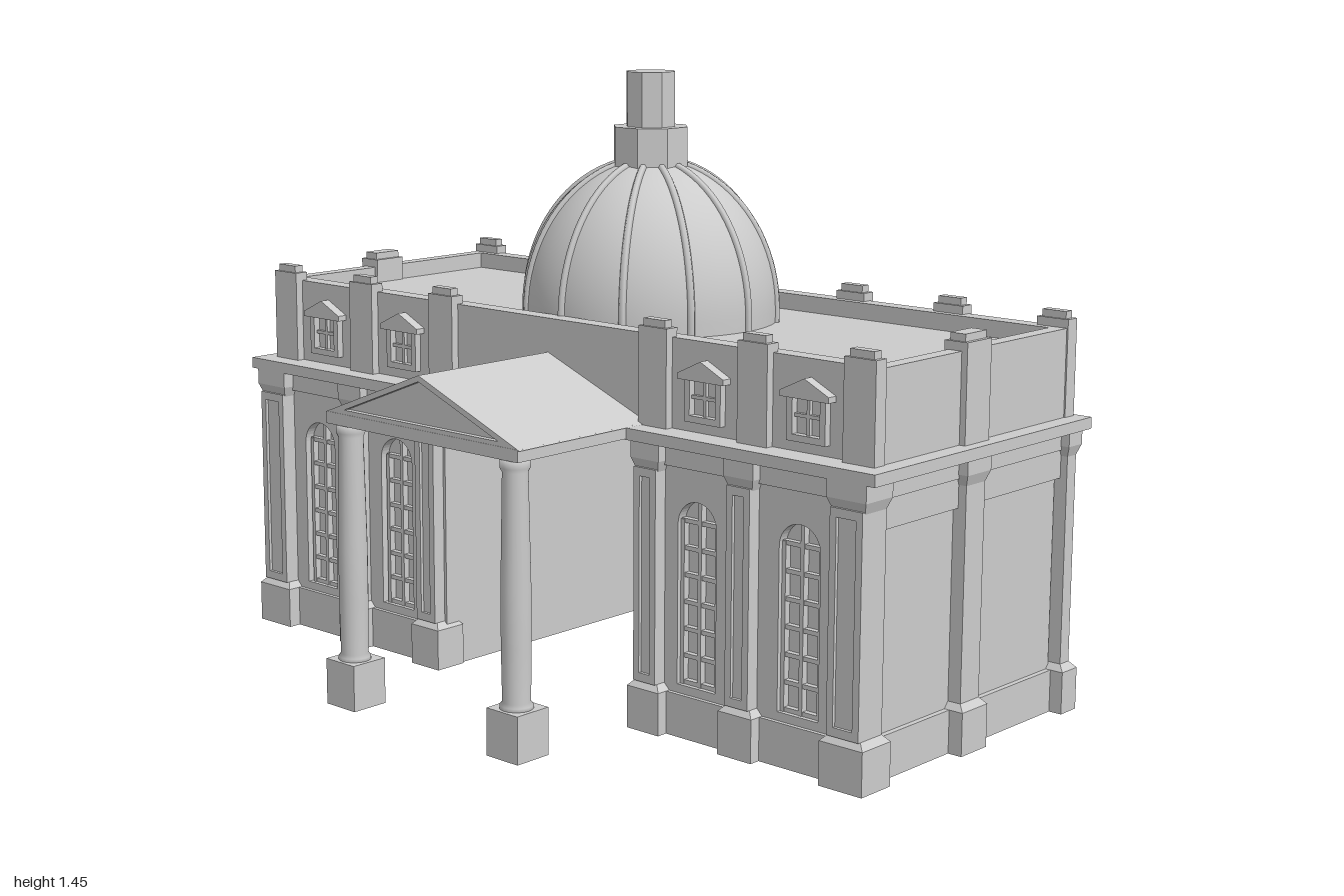
import * as THREE from 'three';

const mat = new THREE.MeshStandardMaterial({ color: 0xcccccc });
const flat = new THREE.MeshStandardMaterial({ color: 0xcccccc, flatShading: true });

function add(parent, name, geo, x = 0, y = 0, z = 0, m = flat) {
  const mesh = new THREE.Mesh(geo, m);
  mesh.name = name;
  mesh.position.set(x, y, z);
  parent.add(mesh);
  return mesh;
}

// Box given by its extents
function box(parent, name, x0, x1, y0, y1, z0, z1) {
  return add(parent, name, new THREE.BoxGeometry(x1 - x0, y1 - y0, z1 - z0),
    (x0 + x1) / 2, (y0 + y1) / 2, (z0 + z1) / 2);
}

// Box whose top has a different size from its bottom
function taper(parent, name, w0, d0, w1, d1, y0, y1) {
  const geo = new THREE.BoxGeometry(1, y1 - y0, 1);
  const p = geo.attributes.position;
  for (let i = 0; i < p.count; i++) {
    const top = p.getY(i) > 0;
    p.setX(i, p.getX(i) * (top ? w1 : w0));
    p.setZ(i, p.getZ(i) * (top ? d1 : d0));
  }
  geo.computeVertexNormals();
  return add(parent, name, geo, 0, (y0 + y1) / 2, 0);
}

function outline(target, pts) {
  pts.forEach(([x, y], i) => (i ? target.lineTo(x, y) : target.moveTo(x, y)));
  target.closePath();
  return target;
}
const rect = (T, x0, x1, y0, y1) => outline(new T(), [[x0, y0], [x1, y0], [x1, y1], [x0, y1]]);
const extrude = (shape, depth) => new THREE.ExtrudeGeometry(shape, { depth, bevelEnabled: false, curveSegments: 10 });

// Pilaster with plinth block, shaft and flared capital; w across, d deep
function pilaster(parent, x, z, w, d, panelled) {
  const g = new THREE.Group();
  g.name = 'pilaster';
  g.position.set(x, 0, z);
  const W = w + 0.03, D = d + 0.025;
  taper(g, 'pilasterBase', W, D, W, D, 0, 0.1);
  taper(g, 'pilasterBaseMoulding', W, D, w, d, 0.1, 0.115);
  taper(g, 'pilasterShaft', w, d, w, d, 0.115, 0.615);
  taper(g, 'pilasterCapital', w, d, w + 0.018, d + 0.018, 0.605, 0.63);
  taper(g, 'pilasterCapitalBlock', w + 0.018, d + 0.018, w + 0.018, d + 0.018, 0.63, 0.672);
  if (panelled) {
    const h = w / 2, s = rect(THREE.Shape, -h, h, 0.115, 0.61);
    s.holes.push(rect(THREE.Path, -h + 0.017, h - 0.017, 0.135, 0.59));
    add(g, 'pilasterPanelFrame', extrude(s, 0.008), 0, 0, d / 2);
  }
  parent.add(g);
}

// Parapet post with a smaller cap
function post(parent, x, z, w, d) {
  box(parent, 'parapetPost', x - w / 2, x + w / 2, 0.695, 0.92, z - d / 2, z + d / 2);
  const a = w / 2 - 0.01, b = d / 2 - 0.006;
  box(parent, 'parapetPostCap', x - a, x + a, 0.92, 0.937, z - b, z + b);
}

const windowXs = [0.487, 0.775];

function wing(parent, s) {
  const g = new THREE.Group();
  g.name = s > 0 ? 'leftWing' : 'rightWing';
  const b = (name, x0, x1, ...r) => box(g, name, Math.min(s * x0, s * x1), Math.max(s * x0, s * x1), ...r);
  b('wingCore', 0.32, 0.937, 0, 0.67, -0.53, 0.17);
  b('wingPlinth', 0.32, 0.95, 0, 0.1, -0.545, 0.205);
  b('wingArchitrave', 0.32, 0.95, 0.553, 0.67, -0.545, 0.17);
  b('wingFrieze', 0.32, 0.955, 0.62, 0.67, -0.55, 0.205);

  // Front wall with arched windows
  const wall = rect(THREE.Shape, 0.32, 0.95, 0.1, 0.62);
  for (const x of windowXs) {
    const h = new THREE.Path();
    h.moveTo(x - 0.056, 0.12);
    h.lineTo(x + 0.056, 0.12);
    h.lineTo(x + 0.056, 0.49);
    h.absarc(x, 0.49, 0.056, 0, Math.PI, false);
    h.closePath();
    wall.holes.push(h);
  }
  const geo = extrude(wall, 0.025);
  if (s < 0) geo.translate(-1.27, 0, 0);
  add(g, 'frontWall', geo, 0, 0, 0.17);

  for (const x of windowXs) {
    for (const dx of [-0.05, 0, 0.05]) b('windowMullion', x + dx - 0.005, x + dx + 0.005, 0.12, dx ? 0.5 : 0.545, 0.168, 0.186);
    for (let i = 0; i < 7; i++) {
      const y = 0.125 + i * 0.062;
      b('windowBar', x - 0.055, x + 0.055, y - 0.005, y + 0.005, 0.168, 0.184);
    }
    dormer(g, s * x);
  }

  // Side, front and back pilasters and the posts above them
  for (const z of [0.19, -0.55]) {
    const front = z > 0;
    pilaster(g, s * 0.925, front ? 0.188 : -0.551, 0.085, front ? 0.074 : 0.035, front);
    for (const x of [0.63, 0.36]) pilaster(g, s * x, front ? 0.19 : -0.551, 0.065, front ? 0.06 : 0.035, front);
    for (const x of [0.917, 0.63, 0.343]) post(g, s * x, front ? 0.167 : -0.549, 0.083, 0.036);
  }
  pilaster(g, s * 0.945, -0.167, 0.05, 0.07, false);
  post(g, s * 0.94, -0.167, 0.06, 0.09);
  parent.add(g);
}

// Small pedimented attic window
function dormer(parent, x) {
  const g = new THREE.Group();
  g.name = 'dormer';
  g.position.set(x, 0, 0.16);
  const frame = rect(THREE.Shape, -0.052, 0.052, 0.72, 0.83);
  frame.holes.push(rect(THREE.Path, -0.037, 0.037, 0.735, 0.815));
  add(g, 'dormerFrame', extrude(frame, 0.022));
  box(g, 'dormerMullion', -0.004, 0.004, 0.735, 0.815, 0, 0.014);
  box(g, 'dormerBar', -0.037, 0.037, 0.772, 0.78, 0, 0.014);
  const gable = outline(new THREE.Shape(), [[-0.066, 0.815], [0.066, 0.815], [0.066, 0.828], [0, 0.86], [-0.066, 0.828]]);
  add(g, 'dormerPediment', extrude(gable, 0.03));
  parent.add(g);
}

function portico(parent) {
  const g = new THREE.Group();
  g.name = 'portico';
  box(g, 'porticoEntablature', -0.31, 0.31, 0.67, 0.698, 0.2, 0.575);
  const tri = (T, w, y0, y1) => outline(new T(), [[-w, y0], [w, y0], [0, y1]]);
  add(g, 'porticoRoof', extrude(tri(THREE.Shape, 0.315, 0.696, 0.82), 0.4), 0, 0, 0.16);
  const rim = tri(THREE.Shape, 0.315, 0.696, 0.82);
  rim.holes.push(tri(THREE.Path, 0.25, 0.708, 0.806));
  add(g, 'pedimentRim', extrude(rim, 0.014), 0, 0, 0.56);
  // Columns with a slight swelling
  const profile = [[0, 0.1], [0.038, 0.1], [0.038, 0.118], [0.032, 0.125], [0.034, 0.25], [0.034, 0.38],
    [0.029, 0.64], [0.034, 0.65], [0.034, 0.672], [0, 0.672]].map(([r, y]) => new THREE.Vector2(r, y));
  for (const s of [-1, 1]) {
    box(g, 'columnBase', s * 0.267 - 0.048, s * 0.267 + 0.048, 0, 0.11, 0.49, 0.586);
    add(g, 'column', new THREE.LatheGeometry(profile, 20), s * 0.267, 0, 0.54, mat);
  }
  parent.add(g);
}

function dome(parent) {
  const g = new THREE.Group();
  g.name = 'dome';
  g.position.z = -0.188;
  const pts = [new THREE.Vector2(0.308, 0.85)];
  for (let i = 0; i <= 16; i++) {
    const a = (i / 16) * 1.29;
    pts.push(new THREE.Vector2(0.308 * Math.cos(a), 0.89 + 0.355 * Math.sin(a)));
  }
  add(g, 'domeShell', new THREE.LatheGeometry(pts, 48), 0, 0, 0, mat);
  const curve = new THREE.CatmullRomCurve3(pts.map(p => new THREE.Vector3(p.x, p.y, 0)));
  const rib = new THREE.TubeGeometry(curve, 24, 0.009, 6);
  for (let i = 0; i < 12; i++) add(g, 'domeRib', rib, 0, 0, 0, mat).rotation.y = (i * Math.PI) / 6;
  // Octagonal lantern
  const oct = (name, r, y0, y1) =>
    (add(g, name, new THREE.CylinderGeometry(r, r, y1 - y0, 8), 0, (y0 + y1) / 2, 0).rotation.y = Math.PI / 8);
  oct('lanternBase', 0.093, 1.22, 1.322);
  oct('lanternTop', 0.061, 1.32, 1.452);
  parent.add(g);
}

export function createModel() {
  const model = new THREE.Group();
  model.name = 'domedHall';

  for (const s of [-1, 1]) wing(model, s);

  // Thin rear wall closing the open centre
  box(model, 'rearWall', -0.33, 0.33, 0, 0.67, -0.53, -0.515);
  box(model, 'rearPlinth', -0.33, 0.33, 0, 0.1, -0.545, -0.505);
  box(model, 'rearArchitrave', -0.33, 0.33, 0.553, 0.67, -0.545, -0.505);
  box(model, 'rearFrieze', -0.33, 0.33, 0.62, 0.67, -0.55, -0.505);

  box(model, 'cornice', -0.998, 0.998, 0.668, 0.695, -0.58, 0.235);

  // Attic, sunken roof and parapet
  box(model, 'attic', -0.955, 0.955, 0.695, 0.86, -0.555, 0.165);
  box(model, 'parapetFront', -0.955, 0.955, 0.86, 0.9, 0.12, 0.165);
  box(model, 'parapetBack', -0.955, 0.955, 0.86, 0.9, -0.555, -0.512);
  for (const s of [-1, 1]) box(model, 'parapetSide', s * 0.937 - 0.018, s * 0.937 + 0.018, 0.86, 0.9, -0.512, 0.12);

  portico(model);
  dome(model);
  return model;
}
